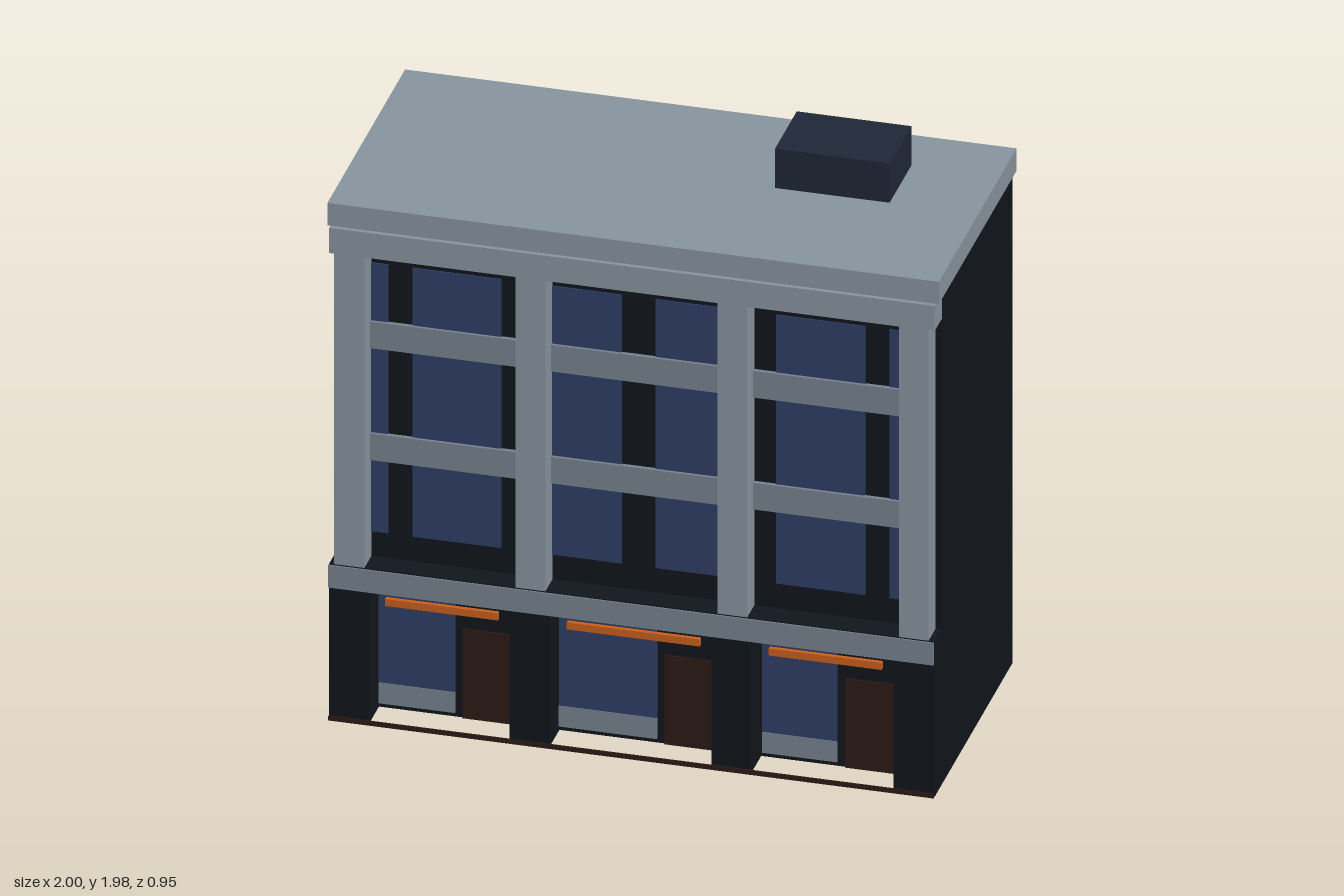
import * as THREE from 'three';

const mat = (color) => new THREE.MeshStandardMaterial({ color });

export function createModel() {
  const model = new THREE.Group();
  const stone = mat(0x87939e), band = mat(0x76818e), dark = mat(0x10161c);
  const glass = mat(0x2d3e64), wood = mat(0x2c1a14), orange = mat(0xc85e1c), unitBlue = mat(0x1f2637);

  // Box given by its limits on each axis
  const box = (name, material, x0, x1, y0, y1, z0, z1) => {
    const mesh = new THREE.Mesh(new THREE.BoxGeometry(x1 - x0, y1 - y0, z1 - z0), material);
    mesh.position.set((x0 + x1) / 2, (y0 + y1) / 2, (z0 + z1) / 2);
    mesh.name = name;
    model.add(mesh);
  };

  // Main body: recessed shop storey, lintel and upper storeys
  const shopZ = 0.345, wallZ = 0.38, frontZ = 0.465;
  box('shopWalls', dark, -0.99, 0.99, 0, 0.475, -0.465, shopZ);
  box('shopLintel', dark, -0.99, 0.99, 0.475, 0.555, -0.465, frontZ);
  box('upperWalls', dark, -0.99, 0.99, 0.555, 1.755, -0.465, wallZ);

  // Ground floor piers
  for (const [a, b] of [[-0.99, -0.86], [-0.4, -0.27], [0.26, 0.39], [0.855, 0.99]])
    box('shopPier', dark, a, b, 0, 0.475, shopZ, frontZ);

  // Thin fascia above the shops and kerb strip at the ground
  box('shopFascia', band, -0.99, 0.99, 0.475, 0.555, 0.472, 0.477);
  box('kerbStrip', wood, -0.99, 0.99, 0, 0.016, 0.472, 0.477);

  // Shops: window, sill panel, door and sign strip
  const shops = [
    { win: [-0.86, -0.61], door: [-0.585, -0.42], sign: [-0.815, -0.445] },
    { win: [-0.27, 0.05], door: [0.075, 0.24], sign: [-0.22, 0.215] },
    { win: [0.395, 0.64], door: [0.665, 0.825], sign: [0.44, 0.81] },
  ];
  for (const { win, door, sign } of shops) {
    box('shopWindow', glass, ...win, 0.09, 0.415, shopZ, shopZ + 0.006);
    box('shopSill', band, ...win, 0.016, 0.09, shopZ, shopZ + 0.008);
    box('shopDoor', wood, ...door, 0, 0.318, shopZ, shopZ + 0.006);
    box('signStrip', orange, ...sign, 0.415, 0.44, 0.425, 0.44);
  }

  // Closed panels on the back wall
  for (const [a, b] of [[-0.86, -0.4], [-0.27, 0.26], [0.39, 0.855]])
    box('backPanel', dark, a, b, 0, 0.555, -0.468, -0.465);

  // Upper columns and the beam above them
  for (const [a, b] of [[-0.975, -0.875], [-0.38, -0.283], [0.28, 0.377], [0.873, 0.97]])
    box('column', stone, a, b, 0.555, 1.665, wallZ, frontZ);
  box('topBeam', stone, -0.99, 0.99, 1.665, 1.755, wallZ, frontZ);

  // Upper window strips
  for (const [a, b] of [[-0.875, -0.82], [-0.74, -0.45], [-0.283, -0.055], [0.055, 0.28], [0.45, 0.74], [0.82, 0.873]])
    box('windowStrip', glass, a, b, 0.645, 1.605, wallZ, wallZ + 0.005);

  // Spandrels between the columns
  for (const [a, b] of [[-0.875, -0.38], [-0.283, 0.28], [0.377, 0.873]])
    for (const y of [0.905, 1.305])
      box('spandrel', band, a, b, y, y + 0.095, wallZ, wallZ + 0.015);

  // Roof slab and rooftop unit
  box('roofSlab', stone, -1, 1, 1.755, 1.835, -0.477, 0.45);
  box('rooftopUnit', unitBlue, 0.335, 0.71, 1.835, 1.975, -0.28, -0.02);

  return model;
}
